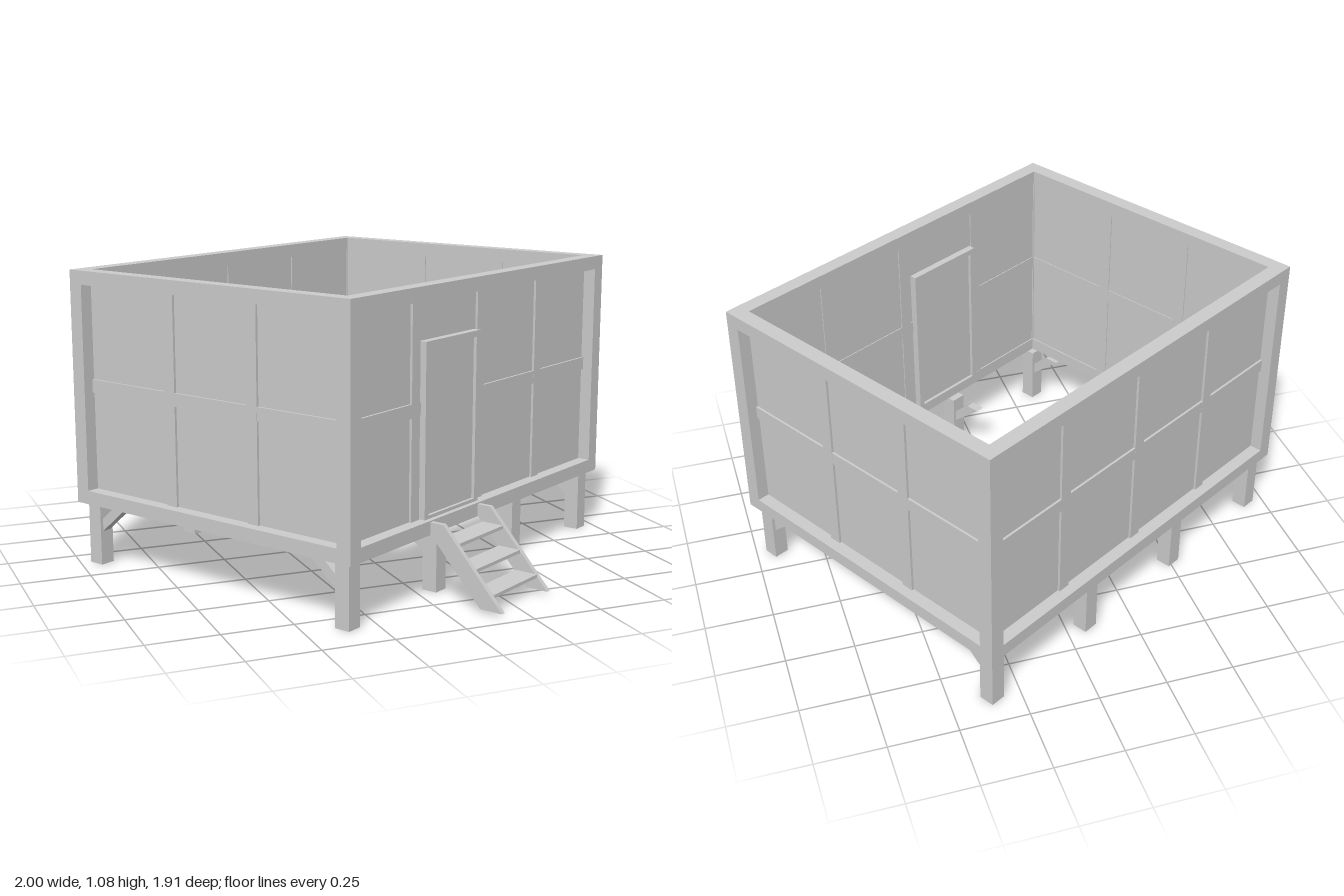
import * as THREE from 'three';

const A = 0.792, B = 0.628;          // half width and half depth of the walls
const T = 0.056;                     // frame thickness
const Y0 = 0.23, Y1 = 1.08, RAIL = 0.05;
const mat = new THREE.MeshStandardMaterial({ color: 0xcccccc, flatShading: true });

// box given by its minimum and maximum corners
function box(name, x0, x1, y0, y1, z0, z1) {
  const m = new THREE.Mesh(new THREE.BoxGeometry(x1 - x0, y1 - y0, z1 - z0), mat);
  m.position.set((x0 + x1) / 2, (y0 + y1) / 2, (z0 + z1) / 2);
  m.name = name;
  return m;
}

// side profile given as [z, y] points, extruded along x around a centre
function profile(name, pts, x, width) {
  const shape = new THREE.Shape(pts.map(([z, y]) => new THREE.Vector2(-z, y)));
  const geo = new THREE.ExtrudeGeometry(shape, { depth: width, bevelEnabled: false });
  geo.translate(0, 0, -width / 2).rotateY(Math.PI / 2);
  const m = new THREE.Mesh(geo, mat);
  m.position.x = x;
  m.name = name;
  return m;
}

// one wall facing +z with its outer face at z = dist
function wall(name, half, dist, battens, corners, railSpans) {
  const g = new THREE.Group();
  g.name = name;
  const end = corners ? half : half - T, inner = half - T;
  g.add(box('bottomRail', -end, end, Y0, Y0 + RAIL, dist - T, dist));
  g.add(box('topRail', -end, end, Y1 - RAIL, Y1, dist - T, dist));
  if (corners) for (const s of [-1, 1]) {
    const c = s * (half - T / 2);
    g.add(box('cornerPost', c - T / 2, c + T / 2, Y0 + RAIL, Y1 - RAIL, dist - T, dist));
  }
  g.add(box('panel', -inner, inner, Y0 + RAIL, Y1 - RAIL, dist - 0.051, dist - 0.047));
  for (const x of battens)
    g.add(box('batten', x - 0.023, x + 0.023, Y0 + RAIL, Y1 - RAIL, dist - 0.055, dist - 0.038));
  for (const [x0, x1] of railSpans || [[-inner, inner]])
    g.add(box('middleRail', x0, x1, 0.637, 0.685, dist - 0.0545, dist - 0.0385));
  return g;
}

function door() {
  const g = new THREE.Group();
  g.name = 'door';
  const x0 = -0.36, x1 = -0.035, y0 = 0.28, y1 = 0.89, w = 0.022, z0 = 0.55, z1 = 0.61;
  g.add(box('doorJamb', x0, x0 + w, y0, y1, z0, z1));
  g.add(box('doorJamb', x1 - w, x1, y0, y1, z0, z1));
  g.add(box('doorHead', x0 + w, x1 - w, y1 - w, y1, z0, z1));
  g.add(box('doorSill', x0 + w, x1 - w, y0, y0 + 0.012, z0, z1));
  g.add(box('doorLeaf', x0 + w, x1 - w, y0 + 0.012, y1 - w, z0 + 0.012, z1 - 0.012));
  return g;
}

function stairs() {
  const g = new THREE.Group();
  g.name = 'stairs';
  const side = [[0.918, 0.012], [0.68, 0.275], [0.628, 0.275], [0.628, 0.235], [0.832, 0.012]];
  for (const x of [-0.343, -0.053]) g.add(profile('stringer', side, x, 0.018));
  for (let i = 0; i < 3; i++) {
    const y = 0.06 + i * 0.075, z = 0.833 - i * 0.07;
    g.add(box('tread', -0.334, -0.062, y - 0.006, y + 0.006, z - 0.043, z + 0.043));
  }
  return g;
}

// four legs with inward braces along the +z edge
function legRow() {
  const g = new THREE.Group();
  g.name = 'legRow';
  const brace = [[0.55, 0.12], [0.55, 0.165], [0.475, 0.23], [0.42, 0.23]];
  for (const x of [-0.735, -0.245, 0.245, 0.735]) {
    g.add(box('leg', x - 0.029, x + 0.029, 0, Y0, 0.543, 0.601));
    g.add(profile('brace', brace, x, 0.034));
  }
  return g;
}

export function createModel() {
  const root = new THREE.Group();
  root.name = 'raisedCabin';
  const body = new THREE.Group();
  body.name = 'cabin';

  // long walls, the front one interrupted by the door
  const long = [-0.388, 0, 0.388];
  body.add(wall('frontWall', A, B, long, true, [[-A + T, -0.36], [-0.035, A - T]]));
  const back = wall('backWall', A, B, long, true);
  back.rotation.y = Math.PI;
  body.add(back);

  // short walls between the corner posts
  for (const s of [-1, 1]) {
    const w = wall(s > 0 ? 'leftWall' : 'rightWall', B, A, [-0.187, 0.187], false);
    w.rotation.y = s * Math.PI / 2;
    body.add(w);
  }

  body.add(door(), stairs());
  const backLegs = legRow();
  backLegs.rotation.y = Math.PI;
  body.add(legRow(), backLegs);

  // the whole cabin stands turned by 30 degrees
  body.rotation.y = Math.PI / 6;
  body.position.z = -0.02;
  root.add(body);
  return root;
}
